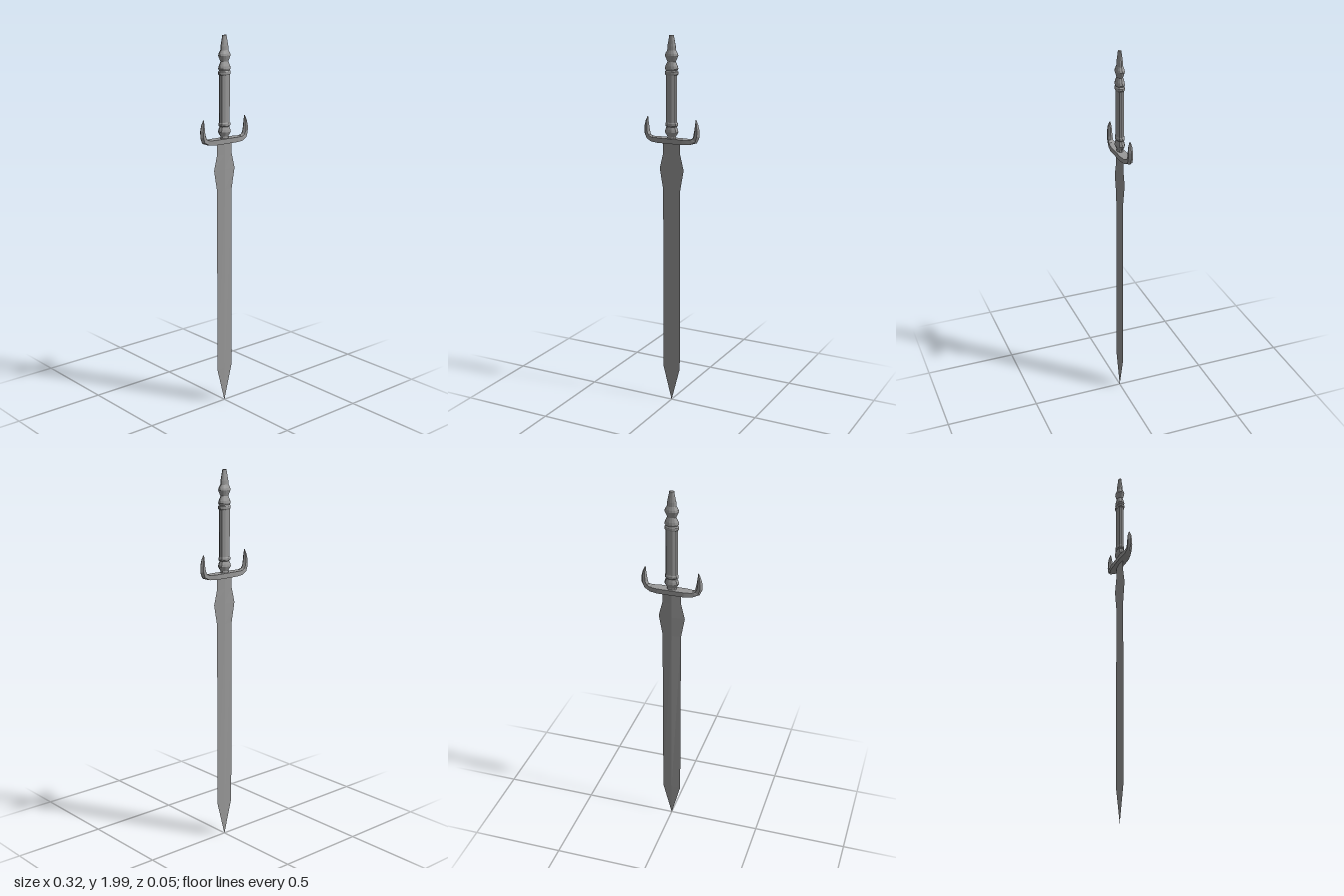
import * as THREE from 'three';

const steel = new THREE.MeshStandardMaterial({ color: 0x999999, flatShading: true, side: THREE.DoubleSide });

// Skin a list of rings (equal point counts) and close both ends.
function loft(rings) {
  const n = rings[0].length;
  const pos = rings.flat(2);
  const index = [];
  for (let r = 0; r < rings.length - 1; r++) {
    for (let i = 0; i < n; i++) {
      const a = r * n + i, b = r * n + (i + 1) % n;
      index.push(a, b, b + n, a, b + n, a + n);
    }
  }
  const last = (rings.length - 1) * n;
  for (let i = 1; i < n - 1; i++) {
    index.push(0, i + 1, i, last, last + i, last + i + 1);
  }
  const g = new THREE.BufferGeometry();
  g.setAttribute('position', new THREE.Float32BufferAttribute(pos, 3));
  g.setIndex(index);
  const flat = g.toNonIndexed();
  flat.computeVertexNormals();
  return flat;
}

function addPart(group, name, geometry) {
  const mesh = new THREE.Mesh(geometry, steel);
  mesh.name = name;
  group.add(mesh);
  return mesh;
}

export function createModel() {
  const sword = new THREE.Group();
  sword.name = 'sword';

  // Blade: thin diamond sections as [height, half width, half thickness]
  const bladeSections = [
    [0.01, 0.0005, 0.0003], [0.2, 0.05, 0.0015], [1.2, 0.05, 0.0045],
    [1.31, 0.07, 0.005], [1.39, 0.05, 0.005], [1.46, 0.05, 0.005],
  ];
  addPart(sword, 'blade', loft(bladeSections.map(([y, w, t]) =>
    [[w, y, 0], [0, y, -t], [-w, y, 0], [0, y, t]])));

  // Crossguard: six-sided sections along a path that curls up into two horns.
  // [x, y, tilt of the path, half height, half depth, squareness]
  const half = [
    [0.07, 1.462, 0, 0.013, 0.025, 1],
    [0.11, 1.463, 0.1, 0.013, 0.018, 0.9],
    [0.134, 1.474, 0.75, 0.017, 0.013, 0.6],
    [0.143, 1.497, 1.35, 0.018, 0.013, 0.4],
    [0.145, 1.525, 1.65, 0.015, 0.012, 0.4],
    [0.143, 1.555, 1.75, 0.009, 0.009, 0.4],
    [0.139, 1.58, 1.75, 0.002, 0.002, 0.4],
  ];
  const mirrored = half.map(([x, y, a, ...rest]) => [-x, y, -a, ...rest]).reverse();
  const guardRings = [...mirrored, ...half].map(([x, y, a, t, d, k]) => {
    const at = (n, z) => [x - Math.sin(a) * n, y + Math.cos(a) * n, z];
    return [at(t, 0), at(t * k, d), at(-t * k, d), at(-t, 0), at(-t * k, -d), at(t * k, -d)];
  });
  addPart(sword, 'crossguard', loft(guardRings));

  // Grip and pommel: turned profiles, flattened front to back
  const turned = (name, sides, profile) => {
    const points = profile.map(([r, y]) => new THREE.Vector2(r, y));
    const mesh = addPart(sword, name, new THREE.LatheGeometry(points, sides, Math.PI / 2));
    mesh.scale.z = 0.64;
  };
  turned('gripCollar', 10, [
    [0.026, 1.465], [0.024, 1.485], [0.039, 1.508], [0.036, 1.52], [0.029, 1.535],
    [0.036, 1.541], [0.036, 1.552], [0.032, 1.558],
  ]);
  turned('grip', 10, [[0.032, 1.558], [0.032, 1.8]]);
  turned('pommel', 14, [
    [0.032, 1.8], [0.037, 1.805], [0.037, 1.817], [0.031, 1.823], [0.037, 1.832],
    [0.034, 1.845], [0.023, 1.868], [0.037, 1.898], [0.034, 1.908], [0.024, 1.925],
    [0.023, 1.945], [0.018, 1.97], [0.014, 1.99], [0.013, 2], [0, 2],
  ]);

  return sword;
}
